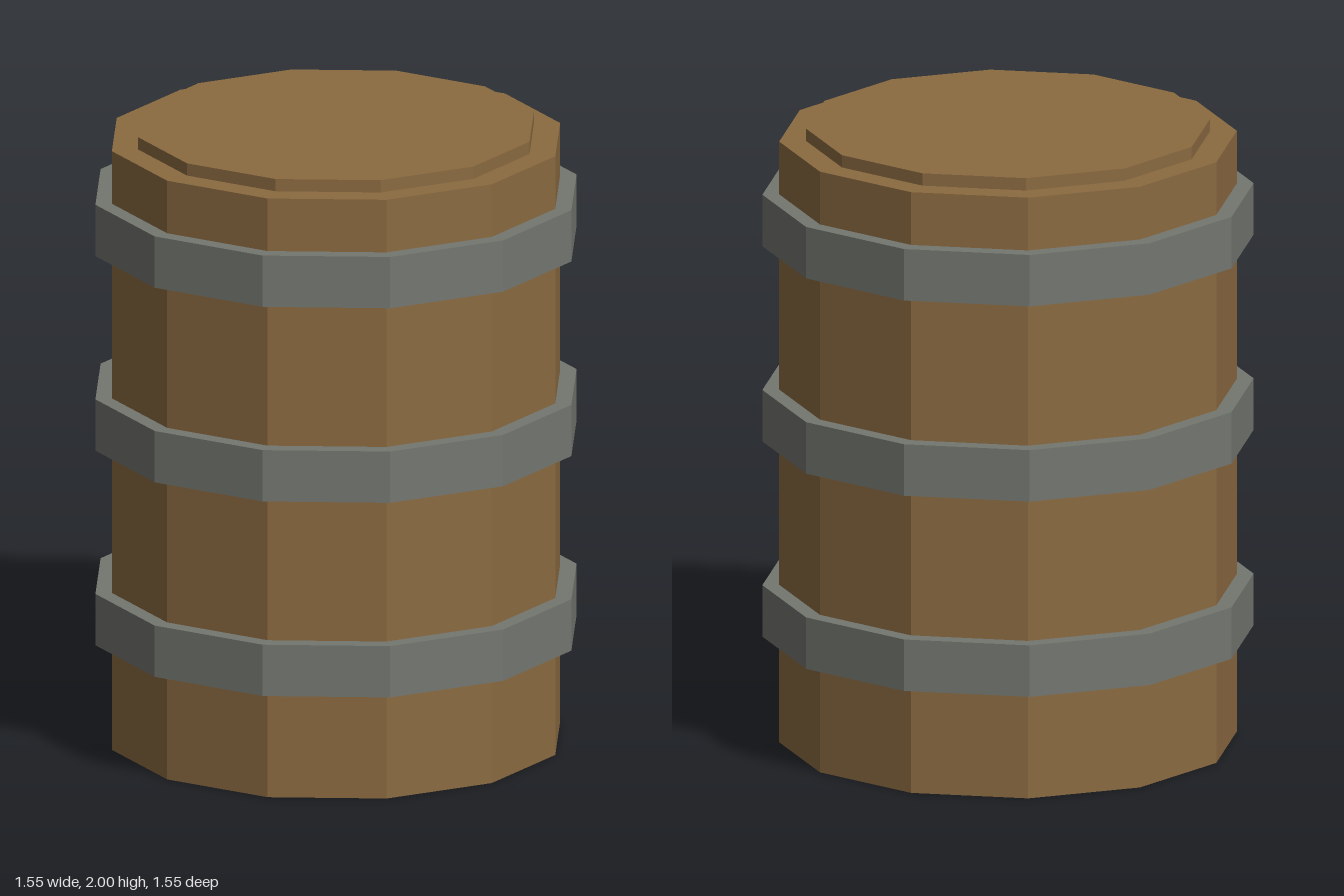
import * as THREE from 'three';

const SIDES = 12;

export function createModel() {
  const barrel = new THREE.Group();
  barrel.name = 'barrel';

  const wood = new THREE.MeshStandardMaterial({ color: 0x8b6a40, flatShading: true });
  wood.name = 'wood';
  const iron = new THREE.MeshStandardMaterial({ color: 0x747770, flatShading: true });
  iron.name = 'iron';

  // Twelve-sided drum between two heights
  function drum(name, radius, bottom, top, material) {
    const geometry = new THREE.CylinderGeometry(radius, radius, top - bottom, SIDES);
    const mesh = new THREE.Mesh(geometry, material);
    mesh.name = name;
    mesh.position.y = (bottom + top) / 2;
    barrel.add(mesh);
  }

  // Body and raised lid
  drum('body', 0.722, 0, 1.96, wood);
  drum('lid', 0.637, 1.955, 2, wood);

  // Three iron hoops
  [['lowerHoop', 0.43], ['middleHoop', 1.067], ['upperHoop', 1.704]].forEach(([name, y]) => {
    drum(name, 0.775, y - 0.084, y + 0.084, iron);
  });

  return barrel;
}
